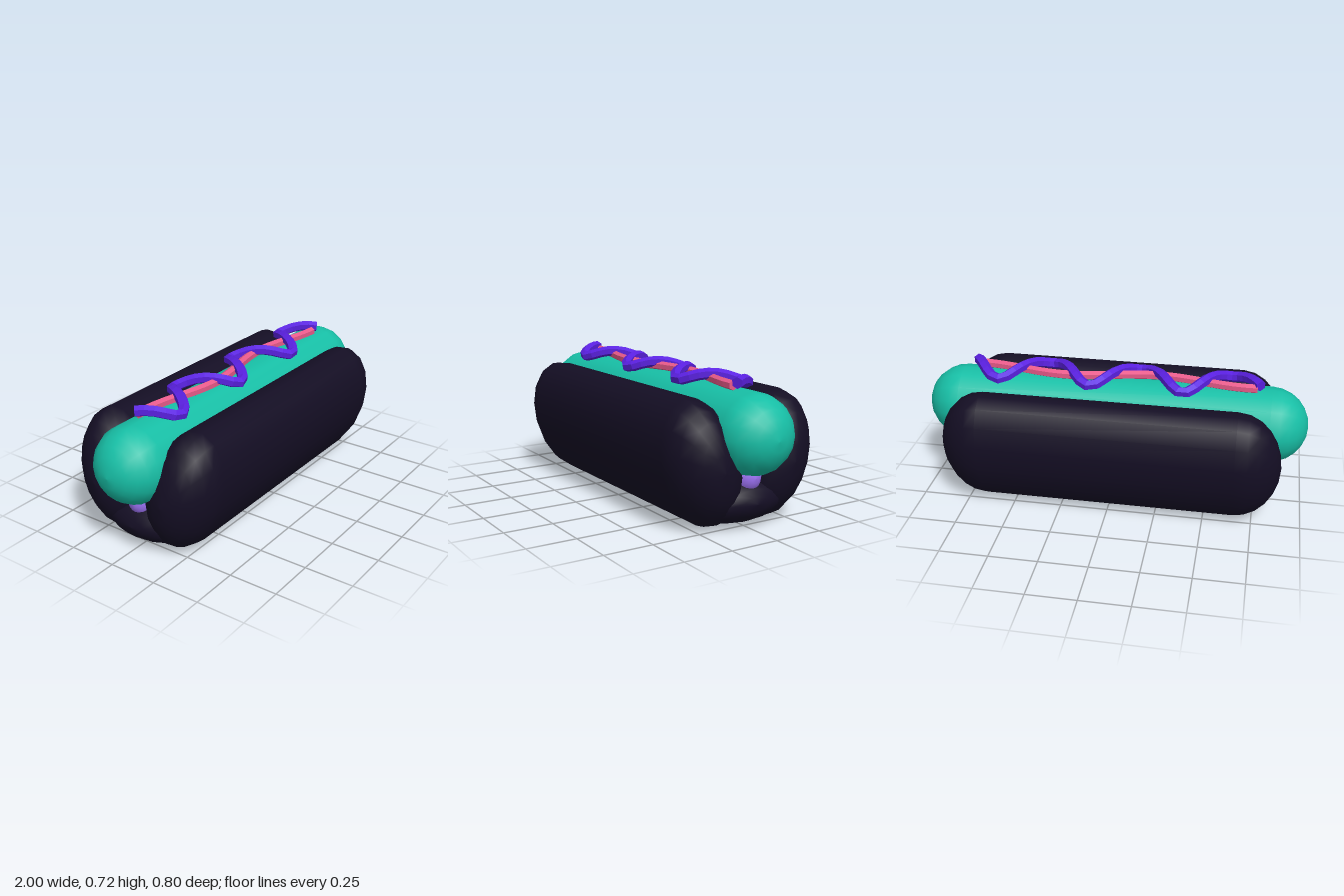
import * as THREE from 'three';

const mat = (color, flatShading = false) => new THREE.MeshStandardMaterial({ color, flatShading });

// Capsule lying along x: half straight length, cap length, radii in y and z, centre, and a lean of y along z
function capsule(name, material, { half, cap, ry, rz, y, z = 0, lean = 0 }) {
  const profile = [];
  const n = 6;
  for (const side of [-1, 1]) {
    for (let i = 0; i <= n; i++) {
      const a = (side < 0 ? n - i : i) / n * Math.PI / 2;
      profile.push(new THREE.Vector2(i === (side < 0 ? 0 : n) ? 0 : Math.cos(a), side * (half + cap * Math.sin(a))));
    }
  }
  const geo = new THREE.LatheGeometry(profile, 16);
  geo.applyMatrix4(new THREE.Matrix4().set(
    0, 1, 0, 0,
    lean, 0, ry, y,
    rz, 0, 0, z,
    0, 0, 0, 1));
  const mesh = new THREE.Mesh(geo, material);
  mesh.name = name;
  return mesh;
}

// Wavy line of sauce along x with closed ends
function sauce(name, material, x0, x1, radius, segments, zAt, yAt) {
  const points = [];
  for (let i = 0; i <= 48; i++) {
    const x = x0 + (x1 - x0) * i / 48;
    points.push(new THREE.Vector3(x, yAt(zAt(x)), zAt(x)));
  }
  const curve = new THREE.CatmullRomCurve3(points);
  const group = new THREE.Group();
  group.name = name;
  const tube = new THREE.Mesh(new THREE.TubeGeometry(curve, segments, radius, 6), material);
  tube.name = name + 'Line';
  group.add(tube);
  const frames = curve.computeFrenetFrames(segments);
  for (const t of [0, 1]) {
    const k = t * segments;
    const end = new THREE.Mesh(new THREE.CircleGeometry(radius, 6), material);
    const dir = frames.tangents[k].clone().multiplyScalar(t ? 1 : -1);
    const side = frames.normals[k];
    end.quaternion.setFromRotationMatrix(
      new THREE.Matrix4().makeBasis(side, dir.clone().cross(side), dir));
    end.position.copy(curve.getPoint(t));
    end.name = name + 'End';
    group.add(end);
  }
  return group;
}

export function createModel() {
  const model = new THREE.Group();
  model.name = 'hotDog';
  const bread = mat(0x140e24);

  // Bun: two leaning halves joined by a base
  for (const s of [1, -1]) {
    model.add(capsule(s > 0 ? 'frontBun' : 'backBun', bread,
      { half: 0.65, cap: 0.23, ry: 0.303, rz: 0.2, y: 0.312, z: 0.2 * s, lean: 0.078 * s }));
  }
  model.add(capsule('bunBase', bread, { half: 0.64, cap: 0.22, ry: 0.13, rz: 0.29, y: 0.133 }));

  // Soft inside of the bun, under the sausage
  model.add(capsule('bunInside', mat(0x9a70f0), { half: 0.74, cap: 0.1, ry: 0.09, rz: 0.075, y: 0.25 }));

  // Sausage
  model.add(capsule('sausage', mat(0x17bfa6), { half: 0.805, cap: 0.195, ry: 0.195, rz: 0.192, y: 0.456 }));

  // Sauces: a gentle wave under a wider one that drapes over the sides
  model.add(sauce('lowerSauce', mat(0xe85a8a, true), -0.73, 0.7, 0.024, 24,
    x => 0.035 * Math.cos(2 * Math.PI * (x + 0.22) / 0.94), () => 0.668));
  model.add(sauce('upperSauce', mat(0x5a20e0, true), -0.745, 0.74, 0.028, 48,
    x => 0.117 * Math.cos(2 * Math.PI * (x + 0.6) / 0.477), z => 0.69 - 2.6 * z * z));
  return model;
}
